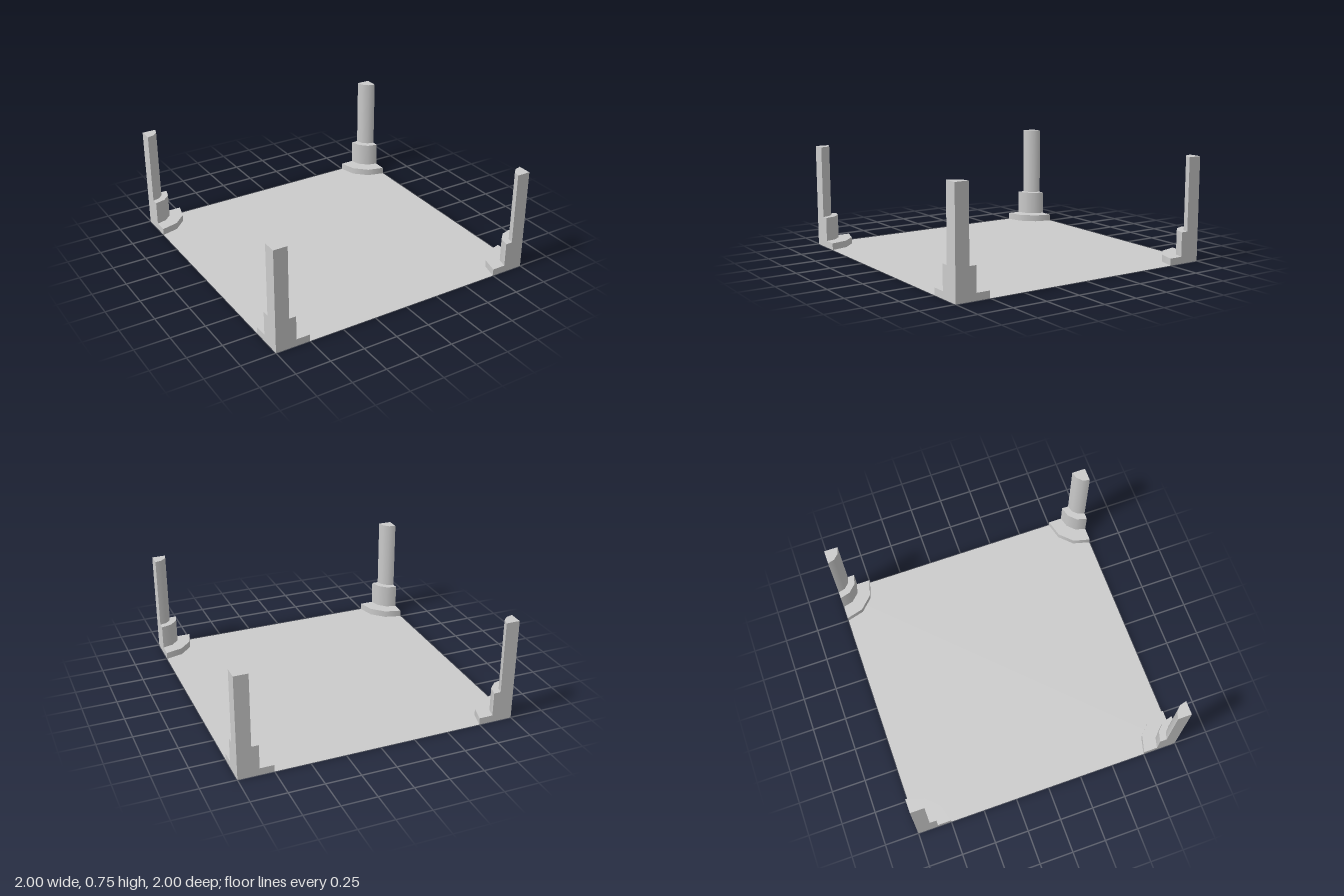
import * as THREE from 'three';

const material = new THREE.MeshStandardMaterial({ color: 0xcccccc });
const floorMaterial = new THREE.MeshStandardMaterial({ color: 0xcccccc, side: THREE.DoubleSide });

// Stacked quarter-round sections of a post: name, radius, bottom, top
const sections = [
  ['plinth', 0.25, 0, 0.05],
  ['pedestal', 0.15, 0.05, 0.225],
  ['shaft', 0.1, 0.225, 0.75],
];

function addMesh(parent, name, geometry, mat = material) {
  const mesh = new THREE.Mesh(geometry, mat);
  mesh.name = name;
  parent.add(mesh);
  return mesh;
}

// Stepped outline of a post's flat side, running towards +x or -x
function sideGeometry(sign) {
  const points = [new THREE.Vector2(0, 0)];
  for (const [, radius, bottom, top] of sections) {
    points.push(new THREE.Vector2(sign * radius, bottom), new THREE.Vector2(sign * radius, top));
  }
  points.push(new THREE.Vector2(0, sections[sections.length - 1][3]));
  return new THREE.ShapeGeometry(new THREE.Shape(points));
}

// Quarter-round post in the corner at -x, -z
function createPost() {
  const post = new THREE.Group();
  for (const [name, radius, bottom, top] of sections) {
    const geometry = new THREE.CylinderGeometry(radius, radius, top - bottom, 3, 1, false, 0, Math.PI / 2);
    addMesh(post, name, geometry).position.y = (bottom + top) / 2;
  }
  addMesh(post, 'flatSide', sideGeometry(1)).rotation.y = -Math.PI / 2;
  addMesh(post, 'flatSide', sideGeometry(-1)).rotation.y = Math.PI;
  post.position.set(-1, 0, -1);
  return post;
}

export function createModel() {
  const model = new THREE.Group();
  model.name = 'floorWithCornerPosts';

  // Thin floor
  const floor = new THREE.PlaneGeometry(2, 2).rotateX(-Math.PI / 2);
  addMesh(model, 'floor', floor, floorMaterial);

  // One post per corner
  for (let i = 0; i < 4; i++) {
    const corner = new THREE.Group();
    corner.name = 'cornerPost';
    corner.rotation.y = (i * Math.PI) / 2;
    corner.add(createPost());
    model.add(corner);
  }
  return model;
}
